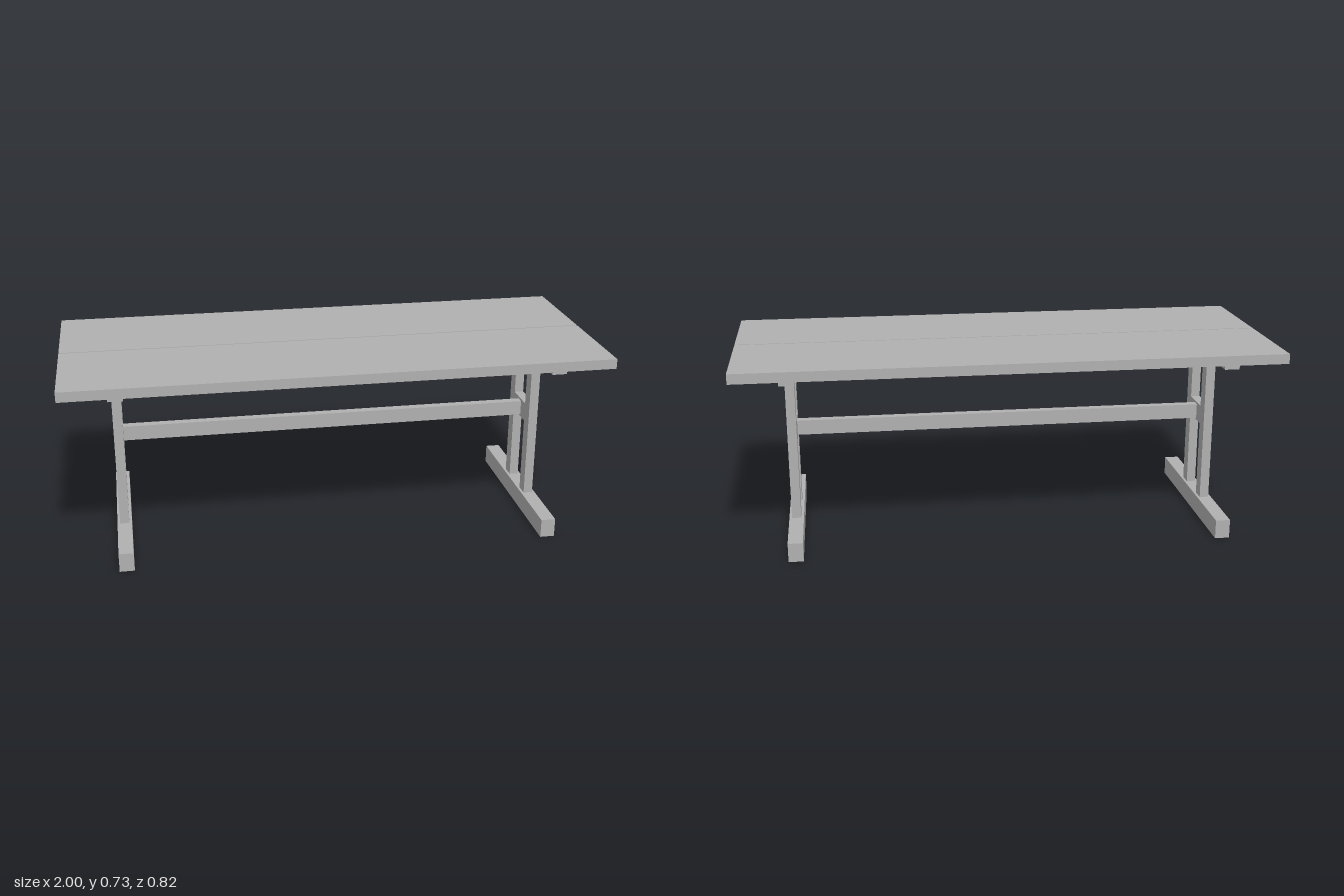
import * as THREE from 'three';

export function createModel() {
  const model = new THREE.Group();
  model.name = 'trestleTable';
  const grey = new THREE.MeshStandardMaterial({ color: 0xb0b0b0 });
  grey.name = 'grey';

  // Box given by its lower and upper limits on each axis
  function board(name, parent, [x0, x1], [y0, y1], [z0, z1]) {
    const mesh = new THREE.Mesh(new THREE.BoxGeometry(x1 - x0, y1 - y0, z1 - z0), grey);
    mesh.position.set((x0 + x1) / 2, (y0 + y1) / 2, (z0 + z1) / 2);
    mesh.name = name;
    parent.add(mesh);
  }

  // Two top planks with a narrow gap between them
  board('frontPlank', model, [-1, 1], [0.691, 0.728], [0.003, 0.409]);
  board('backPlank', model, [-1, 1], [0.691, 0.728], [-0.409, -0.003]);

  // Trestles: foot, twin posts, rung between the posts, bearer under the top
  for (const side of [-1, 1]) {
    const trestle = new THREE.Group();
    trestle.name = side > 0 ? 'leftTrestle' : 'rightTrestle';
    trestle.position.x = side * 0.802;
    board('foot', trestle, [-0.0275, 0.0275], [0, 0.072], [-0.364, 0.364]);
    board('bearer', trestle, [-0.0275, 0.0275], [0.665, 0.691], [-0.364, 0.364]);
    board('frontPost', trestle, [-0.0175, 0.0175], [0.072, 0.665], [0.065, 0.117]);
    board('backPost', trestle, [-0.0175, 0.0175], [0.072, 0.665], [-0.117, -0.065]);
    board('rung', trestle, [-0.0175, 0.0175], [0.365, 0.437], [-0.065, 0.065]);
    model.add(trestle);
  }

  // Long stretcher joining the two rungs
  board('stretcher', model, [-0.7845, 0.7845], [0.372, 0.428], [-0.0165, 0.0165]);

  return model;
}
